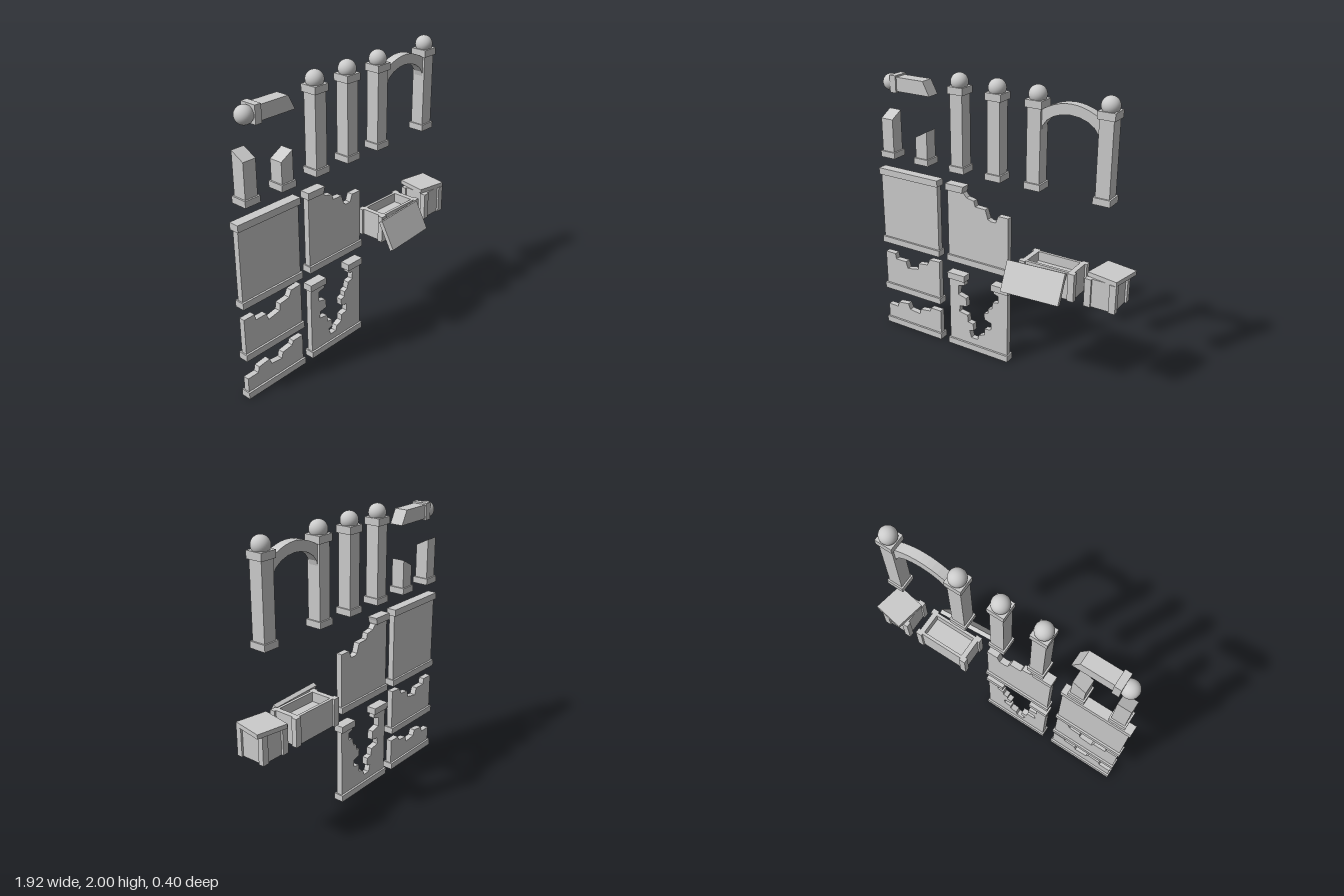
import * as THREE from 'three';

const Z = -0.052; // shared depth line of the walls and pillars
const stone = new THREE.MeshStandardMaterial({ color: 0xcccccc, flatShading: true });
const smoothStone = new THREE.MeshStandardMaterial({ color: 0xcccccc });

function mesh(name, geometry, material = stone) {
  const m = new THREE.Mesh(geometry, material);
  m.name = name;
  return m;
}

// Box given by its ranges
function box(name, x0, x1, y0, y1, z0, z1) {
  const m = mesh(name, new THREE.BoxGeometry(x1 - x0, y1 - y0, z1 - z0));
  m.position.set((x0 + x1) / 2, (y0 + y1) / 2, (z0 + z1) / 2);
  return m;
}

// Outline in x and y, extruded to a depth centred on z = 0
function plate(name, points, depth) {
  const shape = new THREE.Shape(points.map(([x, y]) => new THREE.Vector2(x, y)));
  const g = new THREE.ExtrudeGeometry(shape, { depth, bevelEnabled: false });
  g.translate(0, 0, -depth / 2);
  return mesh(name, g);
}

function group(name, ...parts) {
  const g = new THREE.Group();
  g.name = name;
  g.add(...parts);
  return g;
}

function ball(x, y) {
  const m = mesh('ball', new THREE.SphereGeometry(0.058, 32, 20), smoothStone);
  m.position.set(x, y, 0);
  return m;
}

const SHAFT = 0.047, TRIM = 0.058;
const plinth = (x) => box('plinth', x - TRIM, x + TRIM, 1.343, 1.387, -TRIM, TRIM);

function pillar(x) {
  return group('pillar',
    plinth(x),
    box('shaft', x - SHAFT, x + SHAFT, 1.387, 1.867, -SHAFT, SHAFT),
    box('capital', x - TRIM, x + TRIM, 1.867, 1.915, -TRIM, TRIM),
    ball(x, 1.942));
}

// Arch band between two pillars: shallow outer curve, rounder inner curve
function arch(x0, x1) {
  const cx = (x0 + x1) / 2, r = (x1 - x0) / 2, points = [], n = 10;
  for (let i = 0; i <= n; i++) {
    const t = -1 + 2 * i / n;
    points.push([cx + r * t, 1.862 + 0.06 * (1 - t * t)]);
  }
  for (let i = 0; i <= n; i++) {
    const a = Math.PI * i / n;
    points.push([cx + r * Math.cos(a), 1.725 + 0.13 * Math.sin(a)]);
  }
  return plate('arch', points, 0.064);
}

function brokenPillars() {
  // Stump sloping down towards the front
  const tall = plate('shaft', [[-SHAFT, 1.387], [SHAFT, 1.387], [SHAFT, 1.668], [-SHAFT, 1.618]], 2 * SHAFT);
  tall.rotation.y = Math.PI / 2;
  tall.position.x = -0.854;
  // Stump sloping sideways
  const short = plate('shaft', [[-0.616, 1.387], [-0.522, 1.387], [-0.522, 1.581], [-0.616, 1.528]], 2 * SHAFT);
  // Toppled upper half
  const fallen = plate('shaft', [[-0.755, 1.822], [-0.49, 1.822], [-0.54, 1.917], [-0.755, 1.917]], 2 * SHAFT);
  return [
    group('tallStump', plinth(-0.854), tall),
    group('shortStump', plinth(-0.569), short),
    group('fallenPillarTop', fallen,
      box('capital', -0.802, -0.755, 1.812, 1.928, -TRIM, TRIM), ball(-0.833, 1.868)),
  ];
}

// Wall with a base strip, a panel whose top edge runs left to right, and extra trims
function wall(name, x0, x1, y, top, ...trims) {
  const panel = plate('panel', [[x0 + 0.009, y + 0.03], ...top.slice().reverse().concat([]).length
    ? [[x1 - 0.009, y + 0.03], ...top.slice().reverse()] : []], 0.042);
  return group(name, box('baseStrip', x0, x1, y, y + 0.046, -0.035, 0.035), panel, ...trims);
}

const coping = (x0, x1, y) => box('coping', x0, x1, y, y + 0.047, -0.035, 0.035);

function walls() {
  const L0 = -0.96, L1 = -0.458, R0 = -0.389, R1 = 0.111;
  return [
    wall('wholeWall', L0, L1, 0.672, [[-0.951, 1.21], [-0.467, 1.21]], coping(L0, L1, 1.197)),
    wall('steppedBrokenWall', R0, R1, 0.672, [
      [-0.38, 1.21], [-0.25, 1.197], [-0.225, 1.168], [-0.167, 1.157], [-0.156, 1.118], [-0.077, 1.115],
      [-0.056, 1.051], [-0.034, 1.04], [0.005, 1.04], [0.024, 1.091], [0.102, 1.091]],
      plate('coping', [[R0, 1.197], [-0.254, 1.197], [-0.25, 1.222], [-0.243, 1.244], [R0, 1.244]], 0.07)),
    wall('halfBrokenWall', L0, L1, 0.292, [
      [-0.951, 0.59], [-0.865, 0.59], [-0.858, 0.548], [-0.77, 0.548], [-0.754, 0.498], [-0.659, 0.516],
      [-0.653, 0.564], [-0.574, 0.575], [-0.553, 0.62], [-0.467, 0.625]]),
    wall('lowBrokenWall', L0, L1, 0, [
      [-0.951, 0.148], [-0.865, 0.148], [-0.855, 0.188], [-0.765, 0.199], [-0.749, 0.156], [-0.659, 0.146],
      [-0.648, 0.188], [-0.563, 0.199], [-0.553, 0.228], [-0.467, 0.228]]),
    wall('breachedWall', R0, R1, 0, [
      [-0.38, 0.54], [-0.257, 0.532], [-0.251, 0.5], [-0.304, 0.485], [-0.307, 0.416], [-0.241, 0.4],
      [-0.235, 0.336], [-0.294, 0.326], [-0.299, 0.278], [-0.23, 0.267], [-0.225, 0.215], [-0.183, 0.209],
      [-0.18, 0.156], [-0.214, 0.146], [-0.198, 0.095], [-0.146, 0.095], [-0.135, 0.132], [-0.087, 0.151],
      [-0.087, 0.199], [-0.034, 0.209], [-0.032, 0.262], [-0.087, 0.278], [-0.09, 0.326], [-0.056, 0.336],
      [-0.056, 0.373], [-0.024, 0.384], [-0.019, 0.432], [0.024, 0.442], [0.026, 0.495], [-0.013, 0.506],
      [-0.013, 0.532], [0.102, 0.54]],
      coping(R0, -0.246, 0.53), coping(-0.026, R1, 0.53)),
  ];
}

// Open stone chest with corner posts and a recessed floor
function chest(name, x0, x1) {
  const hx = (x1 - x0) / 2, hz = 0.107, y0 = 0.673, y1 = 0.866, p = 0.045, inset = 0.014;
  const rect = (T, a, b) => new T([[-a, -b], [a, -b], [a, b], [-a, b]].map(([x, y]) => new THREE.Vector2(x, y)));
  const ring = rect(THREE.Shape, hx - inset, hz - inset);
  ring.holes.push(rect(THREE.Path, hx - p - 0.004, hz - 0.034));
  const sides = mesh('sides', new THREE.ExtrudeGeometry(ring, { depth: y1 - y0, bevelEnabled: false }));
  sides.rotation.x = -Math.PI / 2;
  sides.position.y = y0;
  const g = group(name, sides, box('floor', -hx + 0.03, hx - 0.03, y0, 0.8, -hz + 0.03, hz - 0.03));
  for (const sx of [-1, 1]) for (const sz of [-1, 1]) {
    const post = mesh('cornerPost', new THREE.BoxGeometry(p, y1 - y0, 0.037));
    post.position.set(sx * (hx - p / 2), (y0 + y1) / 2, sz * (hz - 0.0185));
    g.add(post);
  }
  g.position.x = (x0 + x1) / 2;
  return g;
}

export function createModel() {
  const model = group('graveyardSet',
    pillar(-0.28), pillar(0.003),
    group('gateway', pillar(0.291), pillar(0.768), arch(0.336, 0.723)),
    ...brokenPillars(), ...walls(),
    chest('longChest', 0.234, 0.637), chest('squareChest', 0.709, 0.923));
  for (const part of model.children) part.position.z = Z;

  // Lid leaning against the long chest
  const lid = mesh('leaningLid', new THREE.BoxGeometry(0.408, 0.211, 0.03));
  lid.rotation.set(-0.47, 0.065, 0, 'YXZ');
  lid.position.set(0.384, 0.773, 0.124);

  // Lid twisted on top of the square chest
  const cover = mesh('twistedLid', new THREE.BoxGeometry(0.215, 0.03, 0.217));
  cover.rotation.y = -0.18;
  cover.position.set(0.836, 0.881, -0.071);

  model.add(lid, cover);
  return model;
}
